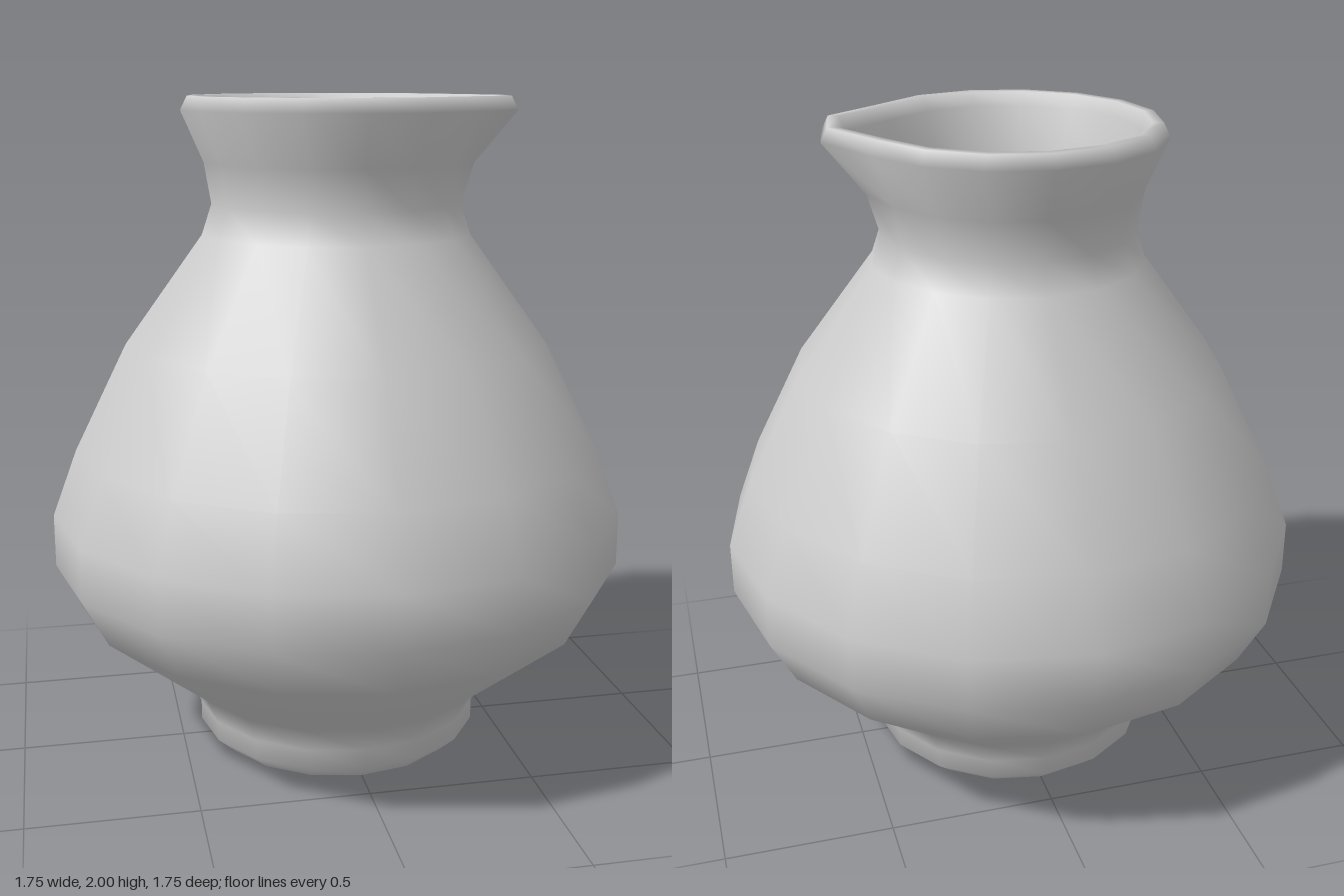
import * as THREE from 'three';
import { mergeVertices } from 'three/addons/utils/BufferGeometryUtils.js';

const SIDES = 16;

// Outer wall from foot to rim, then the inner wall down to the floor: [radius, height]
const PROFILE = [
  [0.385, 0], [0.44, 0.05], [0.44, 0.11], [0.475, 0.19], [0.795, 0.45],
  [0.875, 0.6], [0.875, 0.76], [0.8, 0.96], [0.64, 1.28], [0.405, 1.6],
  [0.375, 1.69], [0.395, 1.81], [0.46, 1.96], [0.44, 2.0],
  [0.41, 2.0], [0.39, 1.96], [0.35, 1.8], [0.335, 1.69], [0.33, 1.58],
  [0.14, 0.2], [0, 0.18],
];

// Sideways pull of the pouring lip: step around the rim -> [dx, dz]
const LIP = { 0: [0.07, 0.02], 1: [0.075, 0.014], 2: [0.015, -0.02] };

function pullLip(geometry) {
  const p = geometry.attributes.position;
  for (let i = 0; i < p.count; i++) {
    const x = p.getX(i), y = p.getY(i), z = p.getZ(i);
    const step = Math.round(Math.atan2(z, x) / (2 * Math.PI / SIDES));
    if (!LIP[step] || y < 1.72) continue;
    const weight = y > 1.9 ? 1 : 0.22;
    p.setXYZ(i, x + LIP[step][0] * weight, y, z + LIP[step][1] * weight);
  }
}

export function createModel() {
  const group = new THREE.Group();
  group.name = 'pitcher';
  const material = new THREE.MeshStandardMaterial({ color: 0xcccccc, side: THREE.DoubleSide });

  // Hollow body with the pouring lip
  let body = new THREE.LatheGeometry(PROFILE.map(([r, y]) => new THREE.Vector2(r, y)), SIDES);
  body.deleteAttribute('normal');
  body.deleteAttribute('uv');
  body = mergeVertices(body, 1e-4);
  pullLip(body);
  body.computeVertexNormals();
  const bodyMesh = new THREE.Mesh(body, material);
  bodyMesh.name = 'body';
  group.add(bodyMesh);

  // Flat underside of the foot
  const base = new THREE.CircleGeometry(PROFILE[0][0], SIDES).rotateX(Math.PI / 2);
  const baseMesh = new THREE.Mesh(base, material);
  baseMesh.name = 'base';
  group.add(baseMesh);

  return group;
}
